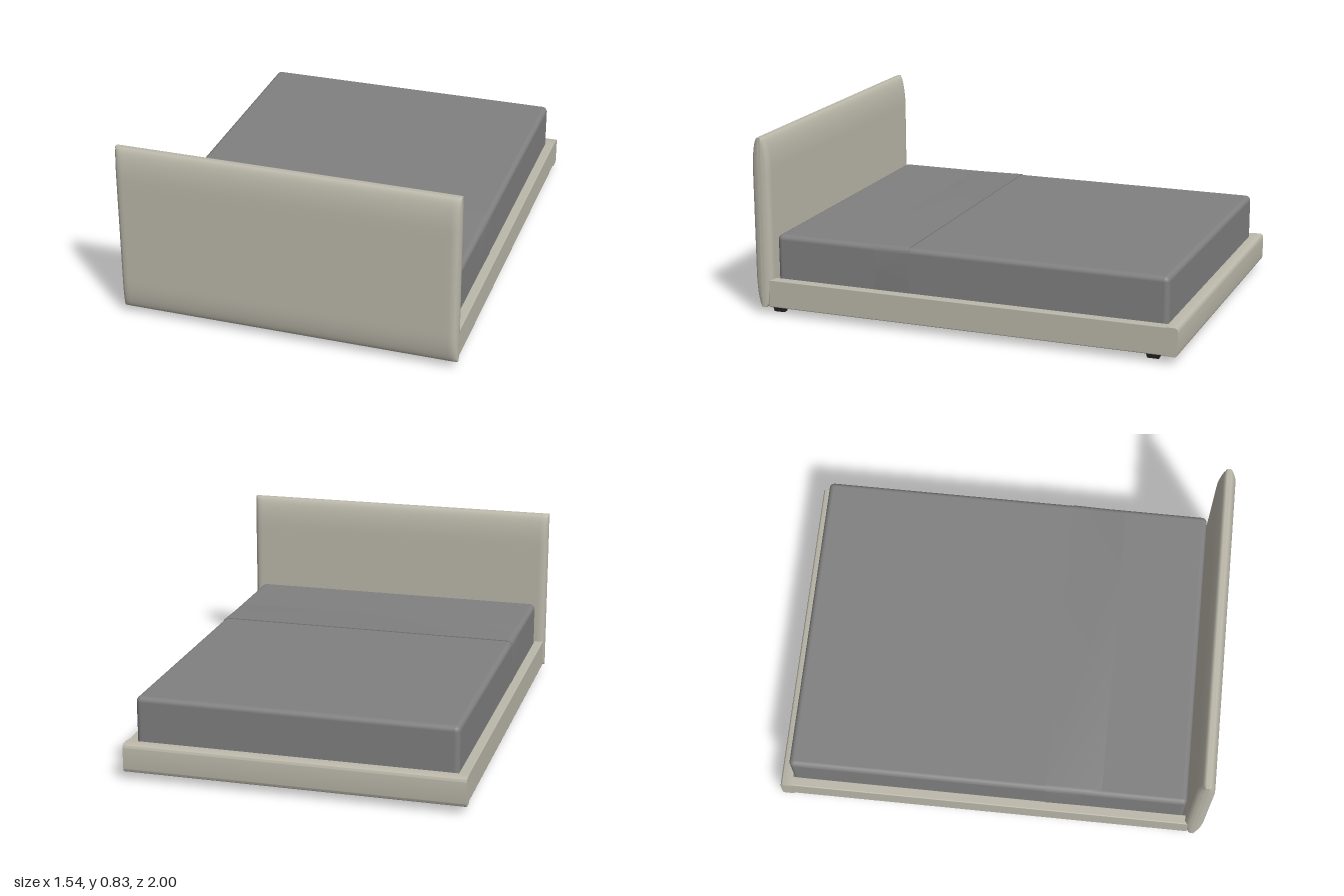
import * as THREE from 'three';
import { RoundedBoxGeometry } from 'three/addons/geometries/RoundedBoxGeometry.js';
import { toCreasedNormals } from 'three/addons/utils/BufferGeometryUtils.js';

const material = (name, color) => {
  const m = new THREE.MeshStandardMaterial({ color });
  m.name = name;
  return m;
};

// Quarter-round falloff: 0 at an edge, 1 once d reaches the given range
const round = (d, range) => Math.sqrt(Math.max(0, 1 - (1 - Math.min(d / range, 1)) ** 2));

// Padded panel: a fine box whose thickness swells away from its edges
function paddedPanel(width, height, depth) {
  const g = new THREE.BoxGeometry(2, 2, 2, 40, 40, 1);
  const p = g.attributes.position;
  for (let i = 0; i < p.count; i++) {
    // rows crowd towards the edges, where the surface curves
    const x = Math.sin(p.getX(i) * Math.PI / 2) * width / 2;
    const y = Math.sin(p.getY(i) * Math.PI / 2) * height / 2;
    const swell = round(width / 2 - Math.abs(x), 0.025) * round(height / 2 - Math.abs(y), 0.15);
    p.setXYZ(i, x, y, Math.sign(p.getZ(i)) * (0.008 + (depth / 2 - 0.008) * swell));
  }
  g.computeVertexNormals();
  return g;
}

// Rounded rectangle standing in the x-y plane
function roundedRect(w, h, r) {
  const s = new THREE.Shape();
  s.absarc(w / 2 - r, h / 2 - r, r, 0, Math.PI / 2);
  s.absarc(r - w / 2, h / 2 - r, r, Math.PI / 2, Math.PI);
  s.absarc(r - w / 2, r - h / 2, r, Math.PI, Math.PI * 1.5);
  s.absarc(w / 2 - r, r - h / 2, r, Math.PI * 1.5, Math.PI * 2);
  return s;
}

export function createModel() {
  const bed = new THREE.Group();
  bed.name = 'bed';
  const fabric = material('beige upholstery', 0xbbb8aa);
  const bedding = material('grey bedding', 0x808080);
  const panel = material('dark grey base', 0x646464);
  const black = material('black feet', 0x222222);
  const metal = material('light grey support', 0xb4b4b4);

  const add = (name, geometry, mat, x = 0, y = 0, z = 0) => {
    const mesh = new THREE.Mesh(geometry, mat);
    mesh.name = name;
    mesh.position.set(x, y, z);
    bed.add(mesh);
    return mesh;
  };

  // Padded headboard
  add('headboard', paddedPanel(1.54, 0.793, 0.085), fabric, 0, 0.43, 0.957);

  // Side rails
  for (const side of [-1, 1]) {
    add(side > 0 ? 'leftRail' : 'rightRail',
      new RoundedBoxGeometry(0.045, 0.13, 1.885, 2, 0.005), fabric, side * 0.742, 0.1, -0.0075);
  }

  // Foot rail with a rounded outer face
  const foot = new THREE.Shape();
  foot.moveTo(0.0275, 0.035);
  foot.lineTo(0.0275, 0.165);
  foot.lineTo(-0.015, 0.165);
  foot.quadraticCurveTo(-0.0265, 0.163, -0.0275, 0.145);
  foot.lineTo(-0.0275, 0.055);
  foot.quadraticCurveTo(-0.0265, 0.037, -0.015, 0.035);
  const footRail = new THREE.ExtrudeGeometry(foot, { depth: 1.535, bevelEnabled: false });
  footRail.translate(0, 0, -1.535 / 2);
  footRail.rotateY(-Math.PI / 2);
  // the turn sends the profile's depth axis to z unchanged in sign
  add('footRail', toCreasedNormals(footRail, 0.7), fabric, 0, 0, -0.9725);

  // Base panel closing the frame underneath
  add('basePanel', new THREE.BoxGeometry(1.45, 0.03, 1.87), panel, 0, 0.053, -0.01);

  // Mattress with softly rounded edges
  add('mattress', new RoundedBoxGeometry(1.445, 0.3, 1.848, 5, 0.024), bedding, 0, 0.22, -0.02);

  // Cover edge wrapped over the mattress, sinking into it towards the head
  const cover = new THREE.ExtrudeGeometry(roundedRect(1.449, 0.308, 0.026),
    { depth: 0.3, bevelEnabled: false, curveSegments: 6 });
  const p = cover.attributes.position;
  for (let i = 0; i < p.count; i++) {
    if (p.getZ(i) > 0.1) p.setXY(i, p.getX(i) * 0.995, p.getY(i) * 0.97);
  }
  add('coverEdge', toCreasedNormals(cover, 0.7), bedding, 0, 0.22, 0.25);

  // Tapered feet at the four corners
  for (const x of [-0.738, 0.738]) {
    for (const z of [-0.888, 0.888]) {
      const g = new THREE.CylinderGeometry(Math.SQRT1_2, 0.58, 1, 4);
      g.rotateY(Math.PI / 4);
      g.scale(0.034, 0.025, 0.062);
      add('foot', g.toNonIndexed(), black, x, 0.0265, z).geometry.computeVertexNormals();
    }
  }

  // Small centre support under the base
  add('centreSupport', new THREE.BoxGeometry(0.022, 0.02, 0.018), metal, 0, 0.01, 0);

  return bed;
}
